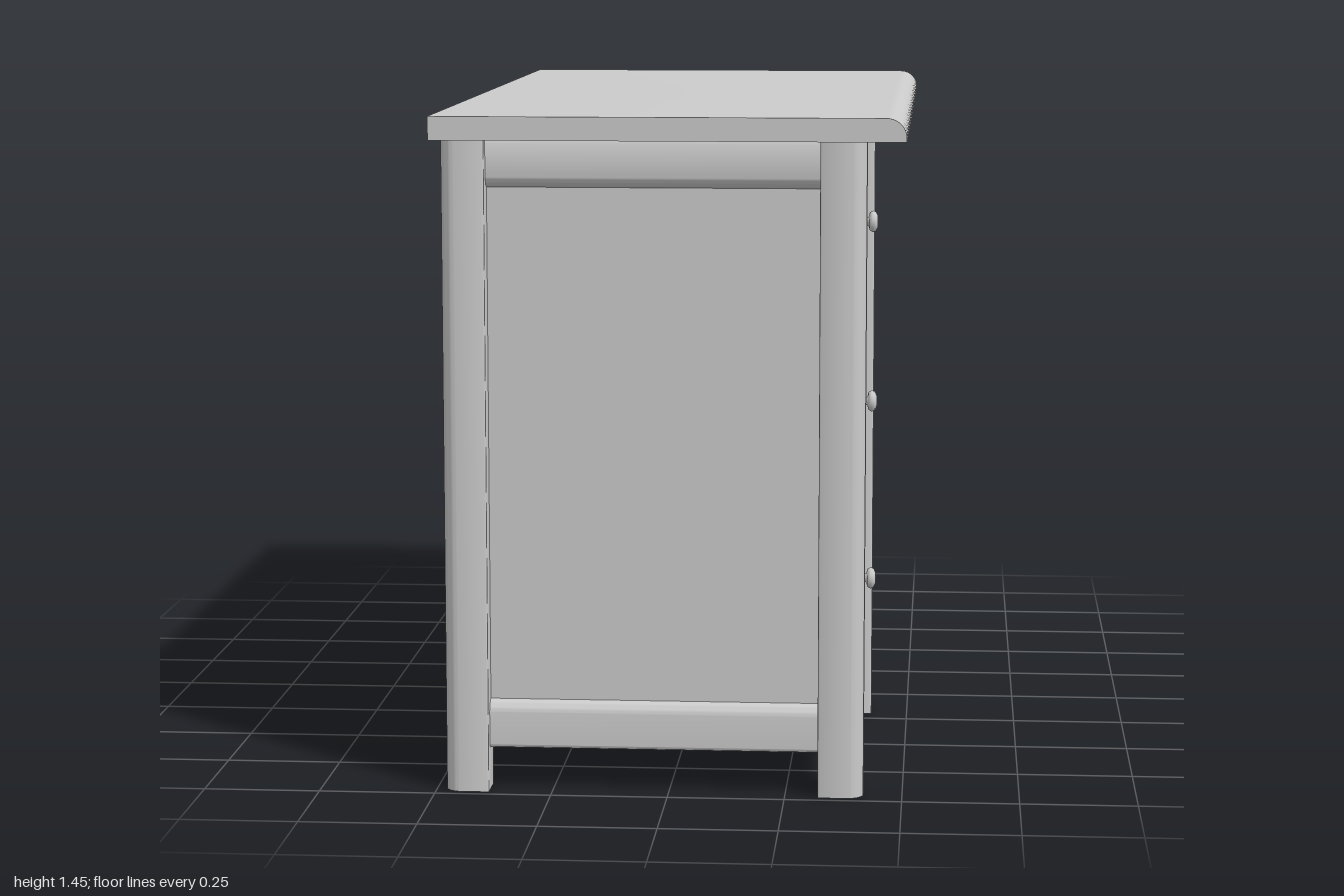
import * as THREE from 'three';
import { toCreasedNormals } from 'three/addons/utils/BufferGeometryUtils.js';

const material = new THREE.MeshStandardMaterial({ color: 0xcccccc });

function add(parent, name, geometry, x = 0, y = 0, z = 0) {
  const mesh = new THREE.Mesh(geometry, material);
  mesh.name = name;
  mesh.position.set(x, y, z);
  parent.add(mesh);
  return mesh;
}

// Box given by its limits on each axis
function block(parent, name, [x0, x1], [y0, y1], [z0, z1]) {
  return add(parent, name, new THREE.BoxGeometry(x1 - x0, y1 - y0, z1 - z0),
    (x0 + x1) / 2, (y0 + y1) / 2, (z0 + z1) / 2);
}

// Rectangle with one radius per corner: (x0,y0), (x1,y0), (x1,y1), (x0,y1)
function roundedRect(x0, x1, y0, y1, [a, b, c, d]) {
  const s = new THREE.Shape();
  s.moveTo(x0 + a, y0);
  s.lineTo(x1 - b, y0);
  if (b) s.absarc(x1 - b, y0 + b, b, -Math.PI / 2, 0);
  s.lineTo(x1, y1 - c);
  if (c) s.absarc(x1 - c, y1 - c, c, 0, Math.PI / 2);
  s.lineTo(x0 + d, y1);
  if (d) s.absarc(x0 + d, y1 - d, d, Math.PI / 2, Math.PI);
  s.lineTo(x0, y0 + a);
  if (a) s.absarc(x0 + a, y0 + a, a, Math.PI, Math.PI * 1.5);
  return s;
}

// Shape extruded along z, centred
function prism(shape, length) {
  const g = new THREE.ExtrudeGeometry(shape, { depth: length, bevelEnabled: false, curveSegments: 8 });
  g.translate(0, 0, -length / 2);
  return toCreasedNormals(g, 0.6);
}

// Upright post standing on the floor
function post(parent, name, [x0, x1], [z0, z1], radii) {
  const h = 1.4;
  const g = prism(roundedRect(x0, x1, -z1, -z0, radii), h);
  g.rotateX(-Math.PI / 2);
  return add(parent, name, g, 0, h / 2, 0);
}

// Recessed side panel between two rounded rails; local +x points outward
function sidePanel(parent, name, yaw, x, z, length) {
  const side = new THREE.Group();
  side.name = name;
  side.position.set(x, 0, z);
  side.rotation.y = yaw;
  block(side, 'panel', [-0.02, 0], [0.1, 1.4], [-length / 2, length / 2]);
  add(side, 'upperRail', prism(roundedRect(-0.035, 0.022, 1.297, 1.4, [0, 0.03, 0.008, 0]), length));
  add(side, 'lowerRail', prism(roundedRect(-0.035, 0.022, 0.092, 0.197, [0, 0.008, 0.03, 0]), length));
  parent.add(side);
}

// Drawer front with sloped edges all round
function drawerFront() {
  const w = 0.045, h = 0.32, d = 0.638, inset = 0.032;
  const g = new THREE.BoxGeometry(w, h, d, 2, 1, 1);
  const p = g.attributes.position;
  for (let i = 0; i < p.count; i++) {
    if (p.getX(i) > 0.01) {
      p.setY(i, p.getY(i) - Math.sign(p.getY(i)) * inset);
      p.setZ(i, p.getZ(i) - Math.sign(p.getZ(i)) * inset);
    }
  }
  return toCreasedNormals(g, 0.2);
}

function knobGeometry() {
  const profile = [[0, 0], [0.01, 0], [0.009, 0.012], [0.02, 0.015], [0.024, 0.022],
    [0.021, 0.029], [0.012, 0.033], [0, 0.034]].map(([r, h]) => new THREE.Vector2(r, h));
  const g = new THREE.LatheGeometry(profile, 24);
  g.rotateZ(-Math.PI / 2);
  return g;
}

export function createModel() {
  const desk = new THREE.Group();
  desk.name = 'desk';

  // Top with a rounded long edge
  add(desk, 'deskTop', prism(roundedRect(-0.5, 0.5, 1.4, 1.45, [0, 0, 0.042, 0]), 2));

  // Free legs at the far end
  for (const s of [-1, 1]) {
    const xs = s < 0 ? [-0.38, -0.3] : [0.3, 0.38];
    post(desk, s < 0 ? 'rightFreeLeg' : 'leftFreeLeg', xs, [-0.9, -0.82], Array(4).fill(0.012));
  }

  // Pedestal posts, rounded on the outer corner
  const pedestal = new THREE.Group();
  pedestal.name = 'pedestal';
  desk.add(pedestal);
  const r = 0.035, e = 0.004;
  const left = [0.32, 0.417], right = [-0.48, -0.385];
  const front = [0.903, 0.982], back = [0.125, 0.204];
  post(pedestal, 'frontRightPost', right, front, [r, e, e, e]);
  post(pedestal, 'frontLeftPost', left, front, [e, r, e, e]);
  post(pedestal, 'backLeftPost', left, back, [e, e, r, e]);
  post(pedestal, 'backRightPost', right, back, [e, e, e, r]);

  // Panelled sides
  sidePanel(pedestal, 'frontSide', -Math.PI / 2, -0.0325, 0.938, 0.705);
  sidePanel(pedestal, 'backSide', Math.PI / 2, -0.0325, 0.169, 0.705);
  sidePanel(pedestal, 'outerSide', Math.PI, -0.438, 0.5535, 0.699);

  // Drawer frame
  block(pedestal, 'frontStile', [0.32, 0.372], [0, 1.4], [0.847, 0.903]);
  block(pedestal, 'backStile', [0.32, 0.372], [0, 1.4], [0.204, 0.26]);
  block(pedestal, 'framePanel', [0.33, 0.35], [0.125, 1.4], [0.26, 0.847]);
  block(pedestal, 'bottomRail', [0.325, 0.357], [0.092, 0.127], [0.26, 0.847]);
  block(pedestal, 'bottomPanel', [-0.43, 0.33], [0.115, 0.13], [0.175, 0.93]);

  // Drawers with knobs
  const frontGeometry = drawerFront(), knob = knobGeometry();
  [1.195, 0.795, 0.395].forEach((y, i) => {
    const drawer = new THREE.Group();
    drawer.name = 'drawer' + (i + 1);
    drawer.position.set(0, y, 0.554);
    add(drawer, 'drawerFront', frontGeometry, 0.3775);
    add(drawer, 'knob', knob, 0.399);
    pedestal.add(drawer);
  });

  return desk;
}
